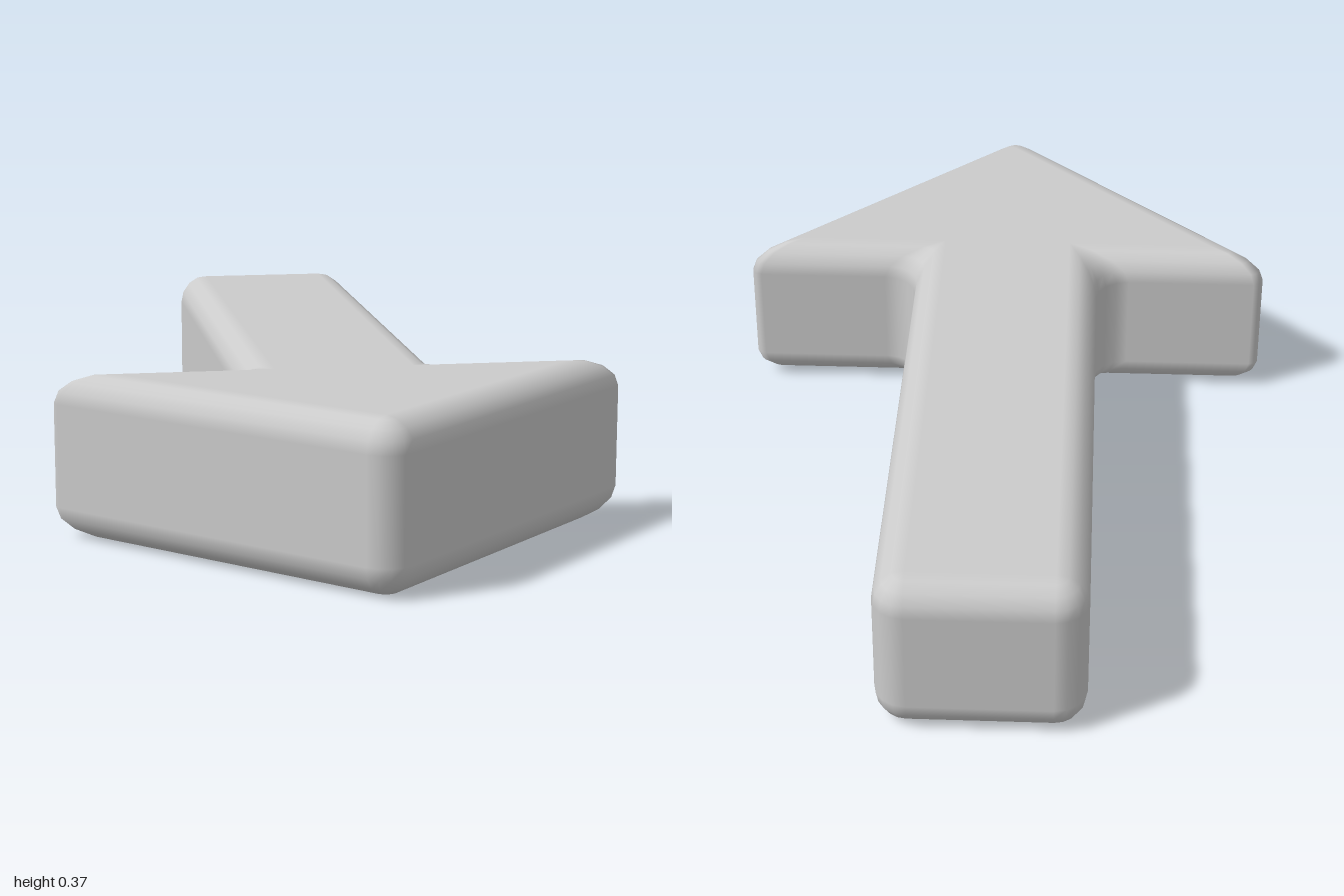
import * as THREE from 'three';

const H = 0.373, BEVEL = 0.07, STEPS = 4;

// Sharp outline corners: x, z, rounding radius of the upright edge
const CORNERS = [
  [0.225, -1, 0.07], [0.225, 0.355, 0.08], [0.674, 0.355, 0.024], [0, 1.029, 0.07],
  [-0.674, 0.355, 0.024], [-0.225, 0.355, 0.08], [-0.225, -1, 0.07],
];

// Outward normal of the outline edge from a to b
const edgeNormal = (a, b) => new THREE.Vector2(b[1] - a[1], a[0] - b[0]).normalize();

// Rounded outer outline, with the matching inset point for the flat faces
function buildOutline() {
  const count = CORNERS.length, points = [], inset = [];
  CORNERS.forEach((c, i) => {
    const n0 = edgeNormal(CORNERS[(i + count - 1) % count], c);
    const n1 = edgeNormal(c, CORNERS[(i + 1) % count]);
    const miter = n0.clone().add(n1).divideScalar(1 + n0.dot(n1));
    const corner = new THREE.Vector2(c[0], c[1]);
    const inner = corner.clone().addScaledVector(miter, -BEVEL);
    const turn = Math.atan2(n0.cross(n1), n0.dot(n1));
    const r = c[2] * Math.sign(turn); // negative in the concave corners
    const center = corner.clone().addScaledVector(miter, -r);
    inset.push(inner);
    for (let k = 0; k <= STEPS; k++) {
      const n = n0.clone().rotateAround(new THREE.Vector2(), turn * k / STEPS);
      points.push({ n, inner, outer: center.clone().addScaledVector(n, r) });
    }
  });
  return { points, inset };
}

// Upright walls with rounded upper and lower edges
function wallGeometry(points) {
  const rows = [];
  for (let k = 0; k <= STEPS; k++) {
    const a = k / STEPS * Math.PI / 2;
    rows.push({ y: BEVEL * (1 - Math.cos(a)), out: Math.sin(a), ny: -Math.cos(a) });
  }
  rows.push(...rows.map(r => ({ y: H - r.y, out: r.out, ny: -r.ny })).reverse());

  const pos = [], nor = [], idx = [], count = points.length;
  rows.forEach((row, j) => points.forEach((p, i) => {
    const q = p.inner.clone().lerp(p.outer, row.out);
    pos.push(q.x, row.y, q.y);
    nor.push(p.n.x * row.out, row.ny, p.n.y * row.out);
    if (j === rows.length - 1) return;
    const a = j * count + i, b = j * count + (i + 1) % count;
    idx.push(a, a + count, b, b, a + count, b + count);
  }));
  const g = new THREE.BufferGeometry();
  g.setAttribute('position', new THREE.Float32BufferAttribute(pos, 3));
  g.setAttribute('normal', new THREE.Float32BufferAttribute(nor, 3));
  g.setIndex(idx);
  return g;
}

// Flat face, side = 1 for the top and -1 for the bottom
function faceGeometry(inset, side) {
  const shape = new THREE.Shape(inset.map(p => new THREE.Vector2(p.x, -side * p.y)));
  return new THREE.ShapeGeometry(shape)
    .rotateX(-side * Math.PI / 2)
    .translate(0, side > 0 ? H : 0, 0);
}

export function createModel() {
  const group = new THREE.Group();
  group.name = 'arrow';
  const material = new THREE.MeshStandardMaterial({ color: 0xcccccc });
  const { points, inset } = buildOutline();
  const add = (name, geometry) => {
    const mesh = new THREE.Mesh(geometry, material);
    mesh.name = name;
    group.add(mesh);
  };
  add('roundedWalls', wallGeometry(points));
  add('topFace', faceGeometry(inset, 1));
  add('bottomFace', faceGeometry(inset, -1));
  return group;
}
